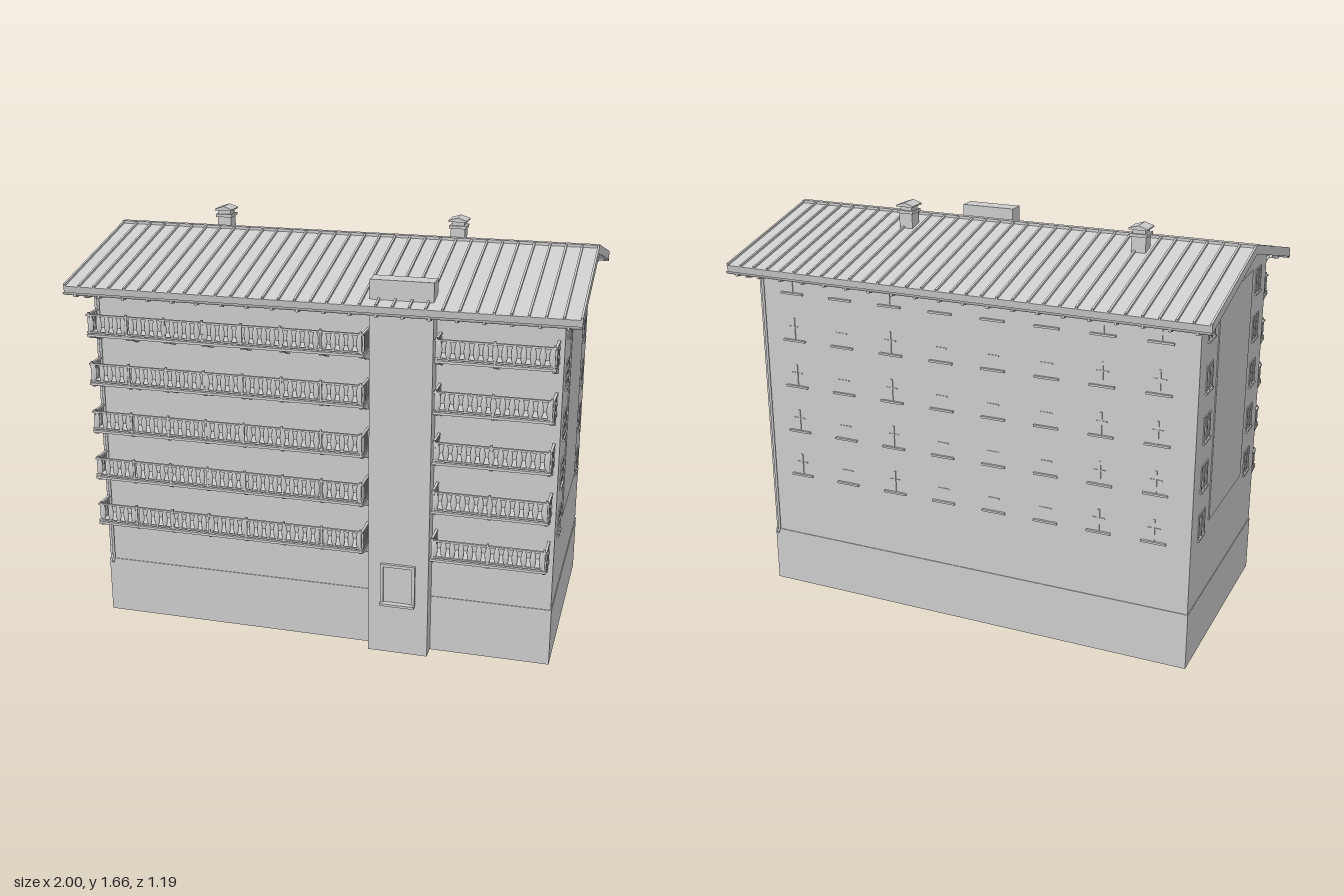
import * as THREE from 'three';

const grey = new THREE.MeshStandardMaterial({ color: 0xcccccc, side: THREE.DoubleSide });
grey.name = 'light grey';

function add(parent, name, geometry) {
  const mesh = new THREE.Mesh(geometry, grey);
  mesh.name = name;
  parent.add(mesh);
  return mesh;
}

// Box given by its minimum and maximum on each axis
function block(parent, name, x0, x1, y0, y1, z0, z1) {
  const g = new THREE.BoxGeometry(x1 - x0, y1 - y0, z1 - z0);
  g.translate((x0 + x1) / 2, (y0 + y1) / 2, (z0 + z1) / 2);
  return add(parent, name, g);
}

// Extrude a [z, y] profile along x
function extrudeX(parent, name, points, x0, x1) {
  const shape = new THREE.Shape(points.map(([z, y]) => new THREE.Vector2(z, y)));
  const g = new THREE.ExtrudeGeometry(shape, { depth: x1 - x0, bevelEnabled: false });
  g.rotateY(-Math.PI / 2);
  g.translate(x1, 0, 0);
  return add(parent, name, g);
}

function group(parent, name) {
  const g = new THREE.Group();
  g.name = name;
  parent.add(g);
  return g;
}

const FLOORS = [0, 1, 2, 3, 4].map(i => i * 0.2);

function buildRoof(root) {
  const roof = group(root, 'roof');
  extrudeX(roof, 'roofSlab',
    [[-0.58, 1.412], [0, 1.557], [0.58, 1.412], [0.585, 1.441], [0, 1.585], [-0.585, 1.441]], -1, 1);
  block(roof, 'ridgeCap', -1, 1, 1.577, 1.593, -0.012, 0.012);
  const slope = Math.atan2(0.144, 0.585);
  for (const s of [-1, 1]) {
    // Standing seams
    for (let i = 0; i <= 32; i++) {
      const seam = add(roof, 'roofSeam', new THREE.BoxGeometry(0.008, 0.014, 0.6));
      seam.position.set(-0.996 + i * 0.06225, 1.514, s * 0.2925);
      seam.rotation.x = s * slope;
    }
    // Gutter: open half pipe with hangers
    const g = new THREE.CylinderGeometry(0.014, 0.014, 2, 8, 1, true, 0, Math.PI);
    g.rotateX(Math.PI / 2);
    g.rotateZ(-Math.PI / 2);
    g.rotateY(Math.PI / 2);
    const gutter = add(roof, 'gutter', g);
    gutter.position.set(0, 1.42, s * 0.58);
    for (let i = 0; i < 20; i++) {
      const x = -0.95 + i * 0.1;
      const z = s * 0.58;
      block(roof, 'gutterHanger', x - 0.005, x + 0.005, 1.402, 1.412, z - 0.012, z + 0.012);
      const rafter = add(roof, 'rafter', new THREE.BoxGeometry(0.014, 0.014, 0.13));
      rafter.position.set(x, 1.422, s * 0.515);
      rafter.rotation.x = s * slope;
    }
  }
  // Chimneys with little gabled caps
  for (const x of [-0.575, 0.425]) {
    const c = group(roof, 'chimney');
    block(c, 'chimneyStack', x - 0.029, x + 0.029, 1.5, 1.622, -0.138, -0.08);
    block(c, 'chimneyBand', x - 0.035, x + 0.035, 1.612, 1.624, -0.144, -0.074);
    block(c, 'chimneyNeck', x - 0.026, x + 0.026, 1.62, 1.642, -0.135, -0.083);
    const cap = new THREE.Shape();
    cap.moveTo(-0.038, 1.64);
    cap.lineTo(0.038, 1.64);
    cap.lineTo(0.038, 1.646);
    cap.lineTo(0, 1.658);
    cap.lineTo(-0.038, 1.646);
    const m = add(c, 'chimneyCap', new THREE.ExtrudeGeometry(cap, { depth: 0.078, bevelEnabled: false }));
    m.position.set(x, 0, -0.148);
  }
}

function buildBalcony(root, x0, x1, y, brackets) {
  const b = group(root, 'balcony');
  block(b, 'balconySlab', x0, x1, y - 0.01, y, 0.46, 0.572);
  block(b, 'frontTopRail', x0, x1, y + 0.073, y + 0.08, 0.56, 0.57);
  block(b, 'frontBottomRail', x0, x1, y + 0.004, y + 0.01, 0.561, 0.569);
  // Slender oval balusters along the front
  const count = Math.round((x1 - x0) / 0.034);
  const pitch = (x1 - x0) / count;
  const oval = new THREE.SphereGeometry(1, 8, 6);
  oval.scale(0.0125, 0.037, 0.005);
  for (let i = 0; i < count; i++)
    add(b, 'baluster', oval).position.set(x0 + (i + 0.5) * pitch, y + 0.041, 0.565);
  // Posts on the brackets
  for (const x of brackets) {
    block(b, 'railPost', x - 0.004, x + 0.004, y, y + 0.087, 0.561, 0.569);
    extrudeX(b, 'balconyBracket',
      [[0.46, y - 0.008], [0.565, y - 0.008], [0.56, y - 0.018], [0.53, y - 0.024],
        [0.5, y - 0.036], [0.475, y - 0.046], [0.46, y - 0.048]], x - 0.006, x + 0.006);
  }
  // Side railings
  for (const x of [x0 + 0.005, x1 - 0.005]) {
    block(b, 'sideTopRail', x - 0.005, x + 0.005, y + 0.073, y + 0.08, 0.46, 0.57);
    block(b, 'sideBottomRail', x - 0.004, x + 0.004, y + 0.004, y + 0.01, 0.46, 0.57);
    for (let i = 0; i < 5; i++) {
      const z = 0.472 + i * 0.019;
      block(b, 'sideBaluster', x - 0.004, x + 0.004, y + 0.005, y + 0.075, z - 0.004, z + 0.004);
    }
  }
}

// Framed two-pane window on a gable wall; s is the side of the building
function buildGableWindow(root, s, y, z) {
  const w = group(root, 'gableWindow');
  const bar = (name, y0, y1, z0, z1, out) => {
    const a = s * 0.925, e = s * (0.931 + out);
    block(w, name, Math.min(a, e), Math.max(a, e), y0, y1, z0, z1);
  };
  bar('windowPane', y, y + 0.105, z - 0.037, z + 0.037, 0.001);
  for (const d of [-0.037, 0, 0.037]) bar('windowUpright', y, y + 0.105, z + d - 0.004, z + d + 0.004, 0.004);
  bar('windowHead', y + 0.099, y + 0.106, z - 0.041, z + 0.041, 0.004);
  bar('windowSill', y - 0.006, y + 0.002, z - 0.044, z + 0.044, 0.008);
}

function buildDownpipe(root, s) {
  const points = [[1.405, 0.58], [1.398, 0.56], [1.392, 0.49], [1.375, 0.473], [0.26, 0.473], [0.24, 0.476], [0.23, 0.487]];
  const path = new THREE.CurvePath();
  const v = points.map(([y, z]) => new THREE.Vector3(-s * 0.912, y, s * z));
  for (let i = 1; i < v.length; i++) path.add(new THREE.LineCurve3(v[i - 1], v[i]));
  add(root, 'downpipe', new THREE.TubeGeometry(path, 80, 0.006, 6));
}

export function createModel() {
  const root = new THREE.Group();
  root.name = 'apartmentBuilding';

  // Walls, plinth and stair tower
  extrudeX(root, 'walls',
    [[-0.465, 0], [0.465, 0], [0.465, 1.445], [0, 1.56], [-0.465, 1.445]], -0.931, 0.931);
  block(root, 'plinth', -0.934, 0.934, 0, 0.238, -0.468, 0.468);
  block(root, 'stairTower', 0.212, 0.455, 0, 1.53, 0.455, 0.53);

  // Entrance
  const door = group(root, 'entrance');
  block(door, 'doorPanel', 0.272, 0.395, 0.22, 0.385, 0.525, 0.533);
  for (const x of [0.27, 0.397]) block(door, 'doorJamb', x - 0.006, x + 0.006, 0.22, 0.388, 0.525, 0.542);
  block(door, 'doorHead', 0.264, 0.403, 0.378, 0.39, 0.525, 0.542);
  block(door, 'doorStep', 0.264, 0.403, 0.214, 0.224, 0.525, 0.556);

  buildRoof(root);

  // Balconies on both sides of the tower
  const long = [0, 1, 2, 3, 4, 5, 6, 7].map(i => -0.91 + i * 0.157);
  for (const f of FLOORS) {
    buildBalcony(root, -0.92, 0.2, 0.45 + f, long);
    buildBalcony(root, 0.467, 0.915, 0.45 + f, [0.475, 0.69, 0.905]);
  }

  // Gable walls
  for (const s of [-1, 1]) {
    const a = s * 0.925, e = s * 0.935;
    block(root, 'gablePanel', Math.min(a, e), Math.max(a, e), 0.54, 1.43, -0.235, 0.235);
    for (const f of FLOORS)
      for (const z of [-0.335, 0.335]) buildGableWindow(root, s, 0.515 + f, z);
    buildDownpipe(root, s);
  }

  // Rear windows: sills, heads and a few mullions
  for (const f of FLOORS)
    for (let i = 0; i < 8; i++) {
      const x = 0.777 - i * 0.223, y = 0.515 + f;
      const w = group(root, 'rearWindow');
      block(w, 'rearSill', x - 0.05, x + 0.05, y, y + 0.008, -0.475, -0.46);
      block(w, 'rearHead', x - 0.025, x + 0.025, y + 0.06, y + 0.065, -0.468, -0.46);
      if (i === 0 || i === 2 || i >= 6)
        block(w, 'rearMullion', x - 0.004, x + 0.004, y, y + 0.1, -0.469, -0.46);
    }
  return root;
}
